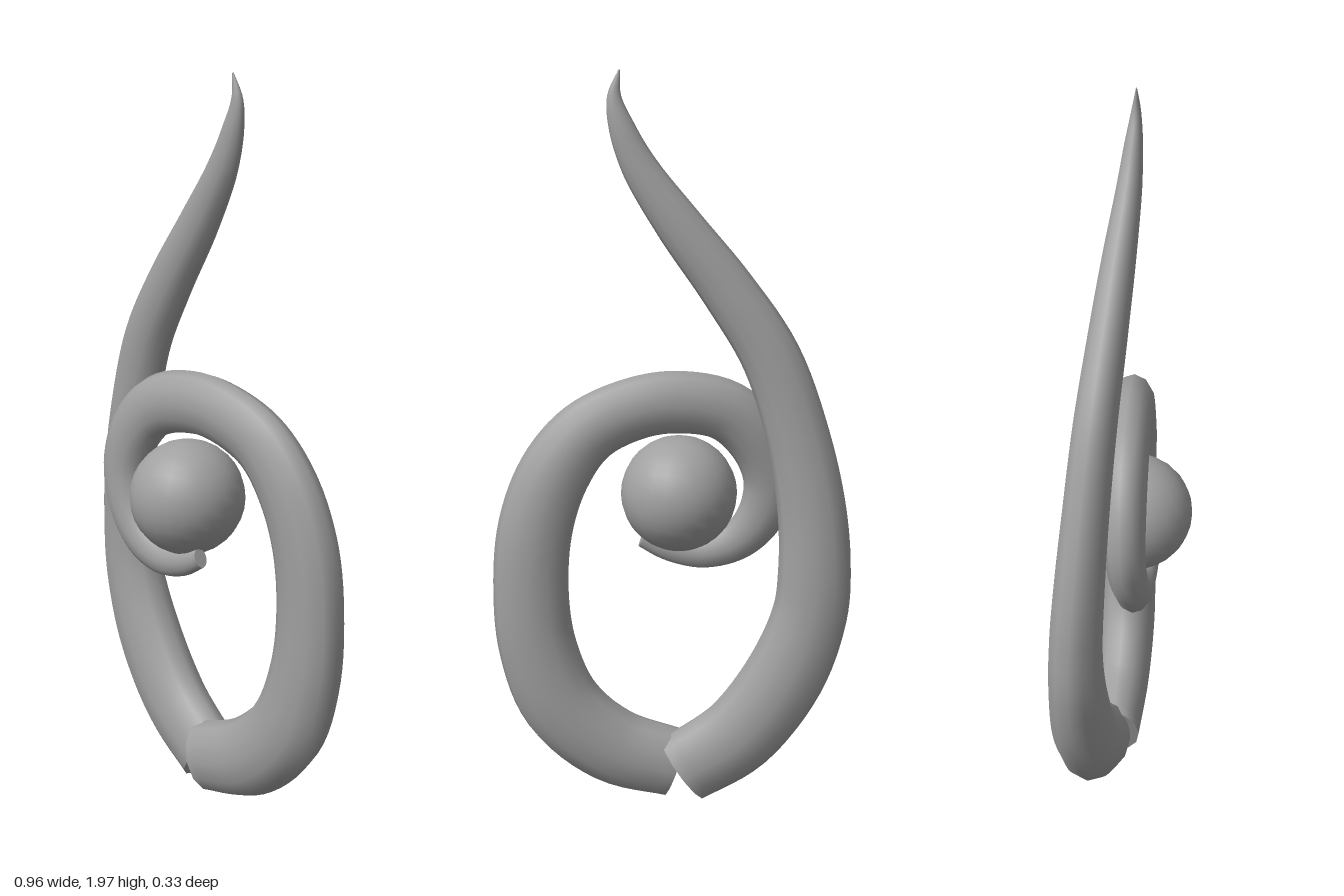
import * as THREE from 'three';

const SIDES = 12;
const DEPTH = 0.72; // tendrils are flattened front to back

// Tapered tendril swept along [x, y, z, halfWidth] stations, with flat end caps
function tendril(stations, steps) {
  const path = new THREE.CatmullRomCurve3(stations.map(([x, y, z]) => new THREE.Vector3(x, y, z)));
  const width = new THREE.CatmullRomCurve3(stations.map((s, i) => new THREE.Vector3(s[3], i * 0.1, 0)));
  const pos = [], index = [];
  for (let i = 0; i <= steps; i++) {
    const p = path.getPoint(i / steps);
    const t = path.getTangent(i / steps);
    const w = Math.max(width.getPoint(i / steps).x, 0.002);
    const len = Math.hypot(t.x, t.y);
    for (let j = 0; j < SIDES; j++) {
      const a = (j / SIDES) * Math.PI * 2;
      const u = w * Math.cos(a);
      pos.push(p.x - (t.y / len) * u, p.y + (t.x / len) * u, p.z + w * DEPTH * Math.sin(a));
      if (i < steps) {
        const k = (j + 1) % SIDES, r = i * SIDES, n = r + SIDES;
        index.push(r + j, r + k, n + j, r + k, n + k, n + j);
      }
    }
  }
  // End caps use their own vertices so the rims stay sharp
  for (const end of [0, steps]) {
    const base = pos.length / 3;
    for (let j = 0; j < SIDES * 3; j++) pos.push(pos[end * SIDES * 3 + j]);
    for (let j = 1; j < SIDES - 1; j++) {
      if (end) index.push(base, base + j, base + j + 1);
      else index.push(base, base + j + 1, base + j);
    }
  }
  const g = new THREE.BufferGeometry();
  g.setAttribute('position', new THREE.Float32BufferAttribute(pos, 3));
  g.setIndex(index);
  g.computeVertexNormals();
  return g;
}

export function createModel() {
  const group = new THREE.Group();
  const grey = new THREE.MeshStandardMaterial({ color: 0xa0a0a0 });
  grey.name = 'plain grey';

  const add = (name, geometry) => {
    const mesh = new THREE.Mesh(geometry, grey);
    mesh.name = name;
    group.add(mesh);
    return mesh;
  };

  // Tall tendril rising to a curled point
  add('tallTendril', tendril([
    [-0.035, 0.115, -0.08, 0.105],
    [-0.19, 0.225, -0.088, 0.113],
    [-0.31, 0.395, -0.09, 0.112],
    [-0.375, 0.575, -0.088, 0.102],
    [-0.385, 0.705, -0.085, 0.097],
    [-0.375, 0.865, -0.076, 0.091],
    [-0.335, 1.065, -0.064, 0.083],
    [-0.262, 1.275, -0.052, 0.077],
    [-0.15, 1.45, -0.042, 0.07],
    [-0.025, 1.615, -0.034, 0.06],
    [0.075, 1.76, -0.026, 0.046],
    [0.12, 1.86, -0.022, 0.033],
    [0.138, 1.935, -0.019, 0.018],
    [0.125, 2.0, -0.016, 0.002],
  ], 78));

  // Spiral tendril curling around the ball
  add('spiralTendril', tendril([
    [-0.015, 0.12, -0.055, 0.1],
    [0.16, 0.18, -0.062, 0.11],
    [0.295, 0.305, -0.068, 0.112],
    [0.357, 0.47, -0.071, 0.106],
    [0.373, 0.64, -0.071, 0.101],
    [0.357, 0.82, -0.066, 0.099],
    [0.304, 0.967, -0.055, 0.095],
    [0.22, 1.073, -0.042, 0.088],
    [0.103, 1.13, -0.027, 0.085],
    [-0.013, 1.147, -0.013, 0.085],
    [-0.15, 1.118, 0.004, 0.083],
    [-0.237, 1.03, 0.015, 0.08],
    [-0.272, 0.925, 0.023, 0.074],
    [-0.251, 0.824, 0.03, 0.066],
    [-0.188, 0.744, 0.036, 0.056],
    [-0.093, 0.707, 0.041, 0.045],
    [0, 0.719, 0.043, 0.037],
    [0.075, 0.75, 0.044, 0.027],
  ], 102));

  // Ball held in the spiral
  add('ball', new THREE.SphereGeometry(0.156, 24, 16)).position.set(-0.025, 0.89, 0.005);

  return group;
}
